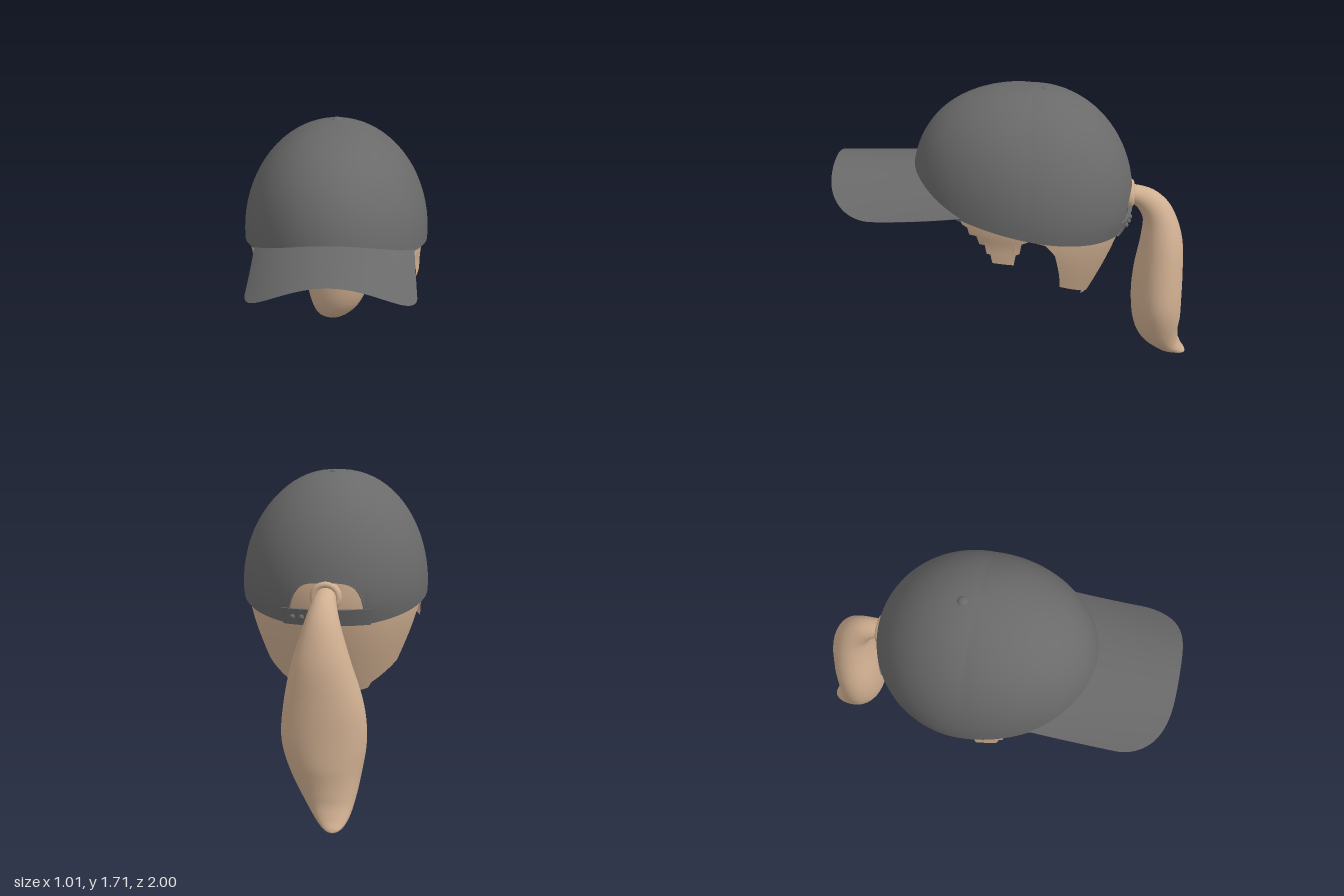
import * as THREE from 'three';
import { mergeVertices } from 'three/addons/utils/BufferGeometryUtils.js';

const capGrey = new THREE.MeshStandardMaterial({ color: 0x6a6a6a, side: THREE.DoubleSide });
capGrey.name = 'capGrey';
const hairTan = new THREE.MeshStandardMaterial({ color: 0xd0af91, side: THREE.DoubleSide });
hairTan.name = 'hairTan';

// Smooth surface from a function of u and v, both 0..1
function surface(nu, nv, fn, smooth = true) {
  const pos = [], idx = [];
  for (let i = 0; i <= nu; i++)
    for (let j = 0; j <= nv; j++) pos.push(...fn(i / nu, j / nv));
  const w = nv + 1;
  for (let i = 0; i < nu; i++)
    for (let j = 0; j < nv; j++) {
      const a = i * w + j, b = a + w;
      idx.push(a, b, a + 1, b, b + 1, a + 1);
    }
  let g = new THREE.BufferGeometry();
  g.setAttribute('position', new THREE.Float32BufferAttribute(pos, 3));
  g.setIndex(idx);
  g = smooth ? mergeVertices(g, 1e-5) : g.toNonIndexed();
  g.computeVertexNormals();
  return g;
}

// Crown shape: angle a is measured from the back, towards the model's left
const TOP = 1.71, MID = 1.1, CZ = -0.07;
function crownRadius(a, y) {
  const h = Math.min(1, (y - MID) / (TOP - MID));
  if (h < 0) return 1 - 0.9 * h * h;
  const p = 2 + 0.5 * Math.max(0, -Math.cos(a));
  return Math.pow(Math.max(0, 1 - Math.pow(h, p)), 1 / p);
}
function ring(a, y, r) {
  const c = Math.cos(a);
  return [0.505 * r * Math.sin(a), y, CZ - c * (c > 0 ? 0.55 : 0.65) * r];
}
const crownPoint = (a, y, scale = 1) => ring(a, y, crownRadius(a, y) * scale);

// Lower edge: sloping rim, arched under the brim and over the back opening
function rimPlane(a) {
  return 1.075 + 0.216 * ring(a, 0, 1)[2];
}
function crownEdge(a) {
  const [x, , z] = ring(a, 0, 1);
  if (z > 0.285) return 1.28 - 0.155 * (x / 0.42) ** 2;
  const base = rimPlane(a), t = Math.abs(a) / 0.41;
  return t < 1 ? base + (1.17 - base) * Math.sqrt(1 - t ** 4) : base;
}

// Brim: arched across its width, thinning to its outer edge
function brimPoint(u, v, under) {
  const s = Math.sin((u - 0.5) * Math.PI);
  const inner = -0.1 + 0.65 * Math.sqrt(1 - (s * 0.42 / 0.505) ** 2);
  const outer = 0.75 + 0.245 * Math.sqrt(Math.max(0, 1 - s ** 4));
  const thick = under * 0.024 * Math.sqrt(Math.max(0, (1 - s ** 8) * (1 - v ** 8)));
  const y = 1.295 - 0.175 * s * s + 0.03 * s * s * (1 - v) ** 2 - thick;
  return [0.42 * s, y, inner + (outer - inner) * v];
}

// Ragged lower outline of the hair: [degrees from the back, height]
const hairline = [
  [0, 0.55], [14, 0.57], [17, 0.53], [28, 0.56], [38, 0.57], [40, 0.6], [54, 0.65],
  [67, 0.7], [70, 0.8], [75, 0.95], [81, 1.02], [90, 1.05], [94, 1.03], [95, 0.97],
  [97, 0.96], [98, 0.9], [109, 0.9], [110, 0.95], [112, 0.95], [113, 1.0], [116, 1.0],
  [117, 1.05], [121, 1.05], [122, 1.09], [125, 1.1], [128, 1.15],
];
function hairBottom(deg) {
  for (let i = 1; i < hairline.length; i++) {
    const [a0, y0] = hairline[i - 1], [a1, y1] = hairline[i];
    if (deg <= a1) return y0 + (y1 - y0) * (deg - a0) / (a1 - a0);
  }
  return 1.15;
}
function hairPoint(u, v) {
  const deg = (u * 2 - 1) * 128, a = deg * Math.PI / 180;
  const low = hairBottom(Math.abs(deg));
  const y = low + (1.3 - low) * v;
  if (y >= 1) return crownPoint(a, y, 0.95);
  const tuck = Math.min(1, Math.max(0, (95 - Math.abs(deg)) / 20));
  return ring(a, y, 0.95 * 0.976 * (1 - 0.35 * tuck * ((1 - y) / 0.47) ** 1.3));
}

// Ponytail sections: x, y, z, half width, half depth
const tail = [
  [0, 1.1, -0.54, 0.06, 0.05], [0, 1.1, -0.62, 0.055, 0.05], [0, 1.055, -0.71, 0.07, 0.07],
  [0, 0.96, -0.775, 0.1, 0.09], [0, 0.8, -0.8, 0.15, 0.12], [-0.01, 0.6, -0.795, 0.2, 0.14],
  [-0.012, 0.42, -0.795, 0.213, 0.145], [-0.025, 0.25, -0.815, 0.175, 0.132],
  [-0.05, 0.12, -0.875, 0.12, 0.08], [-0.065, 0.05, -0.94, 0.075, 0.037],
  [-0.07, 0.018, -0.985, 0.035, 0.014], [-0.07, 0.012, -1.0, 0, 0],
];
const tailPath = new THREE.CatmullRomCurve3(
  tail.map(p => new THREE.Vector3(p[0], p[1], p[2])), false, 'catmullrom');
const tailSize = new THREE.CatmullRomCurve3(
  tail.map(p => new THREE.Vector3(p[3], p[4], 0)), false, 'catmullrom');
function tailPoint(u, v) {
  const c = tailPath.getPoint(u), r = tailSize.getPoint(u), t = tailPath.getTangent(u);
  const n = Math.hypot(t.y, t.z), ang = v * Math.PI * 2;
  const d = Math.sin(ang) * r.y;
  return [c.x + Math.cos(ang) * r.x, c.y - d * t.z / n, c.z + d * t.y / n];
}

export function createModel() {
  const model = new THREE.Group();
  const add = (name, geometry, material) => {
    const mesh = new THREE.Mesh(geometry, material);
    mesh.name = name;
    model.add(mesh);
    return mesh;
  };
  const around = u => (u * 2 - 1) * Math.PI;

  // Cap
  add('crown', surface(240, 20, (u, v) => {
    const a = around(u), e = crownEdge(a);
    return crownPoint(a, TOP - (TOP - e) * (1 - Math.cos(v * Math.PI / 2)));
  }), capGrey);
  add('innerBand', surface(240, 3, (u, v) => {
    const a = around(u), e = crownEdge(a);
    const top = Math.max(rimPlane(a) + 0.1, e + 0.05);
    return crownPoint(a, e + (top - e) * v, 0.92);
  }), capGrey);
  // Narrow turned edge joining the crown to its inner band
  add('rimEdge', surface(240, 1, (u, v) => {
    const a = around(u);
    return crownPoint(a, crownEdge(a), 1 - 0.03 * v);
  }), capGrey);
  add('brimTop', surface(48, 12, (u, v) => brimPoint(u, v, 0)), capGrey);
  add('brimUnderside', surface(48, 12, (u, v) => brimPoint(1 - u, v, 1)), capGrey);
  const button = add('topButton', new THREE.SphereGeometry(0.03, 20, 12), capGrey);
  button.scale.y = 0.7;
  button.position.set(0, 1.695, -0.14);

  // Adjustable strap across the back opening
  const section = [[0.98, 0.95], [1.02, 0.95], [1.02, 1.035], [0.98, 1.035], [0.98, 0.95]];
  add('backStrap', surface(24, 4, (u, v) => {
    const [scale, y] = section[Math.round(v * 4)];
    return crownPoint((u * 2 - 1) * 0.48, y, scale);
  }, false), capGrey);
  for (const a of [0.15, 0.25, 0.35]) {
    const stud = add('strapStud', new THREE.SphereGeometry(0.014, 12, 8), capGrey);
    stud.position.set(...crownPoint(a, 0.993, 1.02));
  }

  // Hair
  add('hair', surface(256, 14, hairPoint), hairTan);
  add('ponytail', surface(64, 32, tailPoint), hairTan);
  const tie = add('hairTie', new THREE.TorusGeometry(0.062, 0.02, 12, 32), hairTan);
  tie.position.set(0, 1.1, -0.6);
  tie.scale.z = 1.6;
  return model;
}
